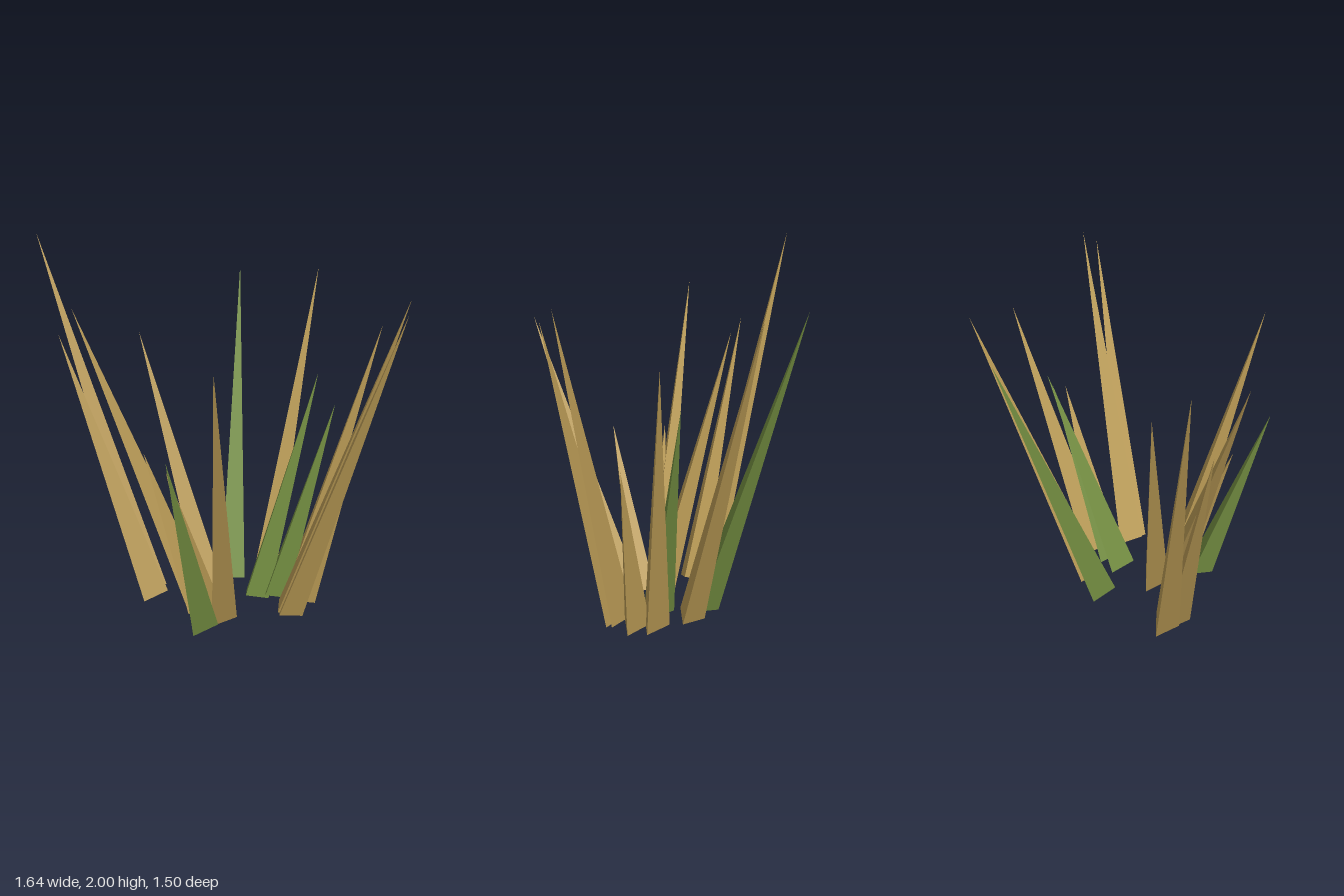
import * as THREE from 'three';

export function createModel() {
  const model = new THREE.Group();
  model.name = 'grassTuft';

  const dry = new THREE.MeshStandardMaterial({ color: 0xc4a35a, flatShading: true });
  dry.name = 'dry straw';
  const green = new THREE.MeshStandardMaterial({ color: 0x7a9645, flatShading: true });
  green.name = 'grass green';

  const RADIUS = 0.086;
  const BASE_Y = 0.027;
  const UP = new THREE.Vector3(0, 1, 0);

  // A three-sided spike leaning from its base centre to its tip, one corner at the back
  function addBlade(name, material, [bx, bz], [tx, ty, tz]) {
    const base = new THREE.Vector3(bx, BASE_Y, bz);
    const axis = new THREE.Vector3(tx, ty, tz).sub(base);
    const length = axis.length();
    const geometry = new THREE.ConeGeometry(RADIUS, length, 3, 1, false, Math.PI);
    geometry.translate(0, length / 2, 0);
    const blade = new THREE.Mesh(geometry, material);
    blade.name = name;
    blade.position.copy(base);
    blade.quaternion.setFromUnitVectors(UP, axis.normalize());
    model.add(blade);
  }

  // Dry blades: base (x, z), tip (x, y, z)
  const dryBlades = [
    [[-0.40, -0.21], [-0.81, 2.0, -0.75]],
    [[-0.425, -0.13], [-0.80, 1.5, -0.48]],
    [[-0.255, 0.10], [-0.825, 1.72, -0.175]],
    [[-0.16, 0.085], [-0.385, 1.49, -0.355]],
    [[-0.235, 0.185], [-0.52, 0.94, 0.305]],
    [[-0.26, 0.10], [-0.52, 0.94, 0.005]],
    [[-0.195, 0.27], [-0.455, 1.59, 0.745]],
    [[0.20, -0.045], [0.71, 1.74, -0.345]],
    [[0.30, 0.16], [0.82, 1.52, 0.18]],
    [[0.295, 0.265], [0.60, 0.97, 0.355]],
    [[0.165, 0.34], [0.67, 1.80, 0.68]],
    [[0.16, 0.37], [0.62, 1.74, 0.74]],
  ];
  dryBlades.forEach(([base, tip], i) => addBlade(`dryBlade${i + 1}`, dry, base, tip));

  // Green blades
  const greenBlades = [
    [[-0.33, 0.32], [-0.62, 1.09, 0.54]],
    [[0.055, -0.145], [0.36, 1.72, -0.64]],
    [[0.083, 0.11], [0.505, 1.25, 0.04]],
    [[0.185, 0.15], [0.55, 1.10, 0.155]],
  ];
  greenBlades.forEach(([base, tip], i) => addBlade(`greenBlade${i + 1}`, green, base, tip));

  return model;
}
